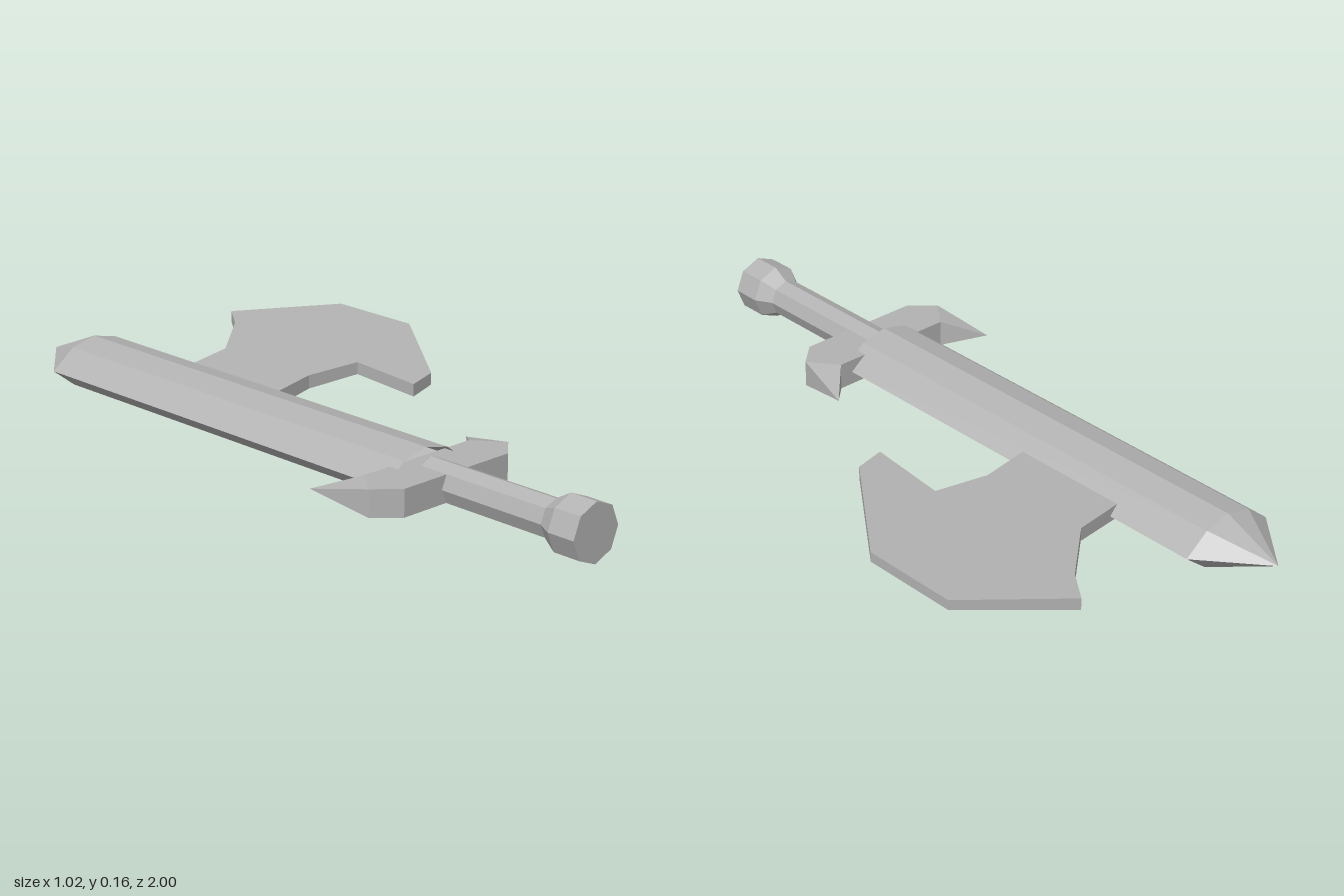
import * as THREE from 'three';
import { ConvexGeometry } from 'three/addons/geometries/ConvexGeometry.js';

const CX = -0.238, CY = 0.079; // long axis of the weapon, running along z

export function createModel() {
  const group = new THREE.Group();
  const steel = new THREE.MeshStandardMaterial({ color: 0xb2b2b2, flatShading: true, side: THREE.DoubleSide });
  steel.name = 'greySteel';

  const add = (name, geometry, x = 0, y = 0) => {
    const flat = geometry.index ? geometry.toNonIndexed() : geometry;
    flat.computeVertexNormals();
    const mesh = new THREE.Mesh(flat, steel);
    mesh.name = name;
    mesh.position.set(x, y, 0);
    group.add(mesh);
  };

  // Plate with an outline in x/z, its lower and upper heights given by functions of x
  const plate = (outline, bottom, top) => {
    const shape = new THREE.Shape(outline.map(([x, z]) => new THREE.Vector2(x, -z)));
    const geo = new THREE.ExtrudeGeometry(shape, { depth: 1, bevelEnabled: false });
    geo.rotateX(-Math.PI / 2);
    const p = geo.attributes.position;
    for (let i = 0; i < p.count; i++) {
      const x = p.getX(i);
      p.setY(i, p.getY(i) > 0.5 ? top(x) : bottom(x));
    }
    return geo;
  };

  // Blade: flattened octagonal tube, open at the guard, pointed at the far end
  const ring = [[0.143, 0], [0.075, 0.053], [0, 0.071], [-0.075, 0.053],
    [-0.143, 0], [-0.075, -0.053], [0, -0.071], [0.075, -0.053]];
  const verts = [];
  ring.forEach((a, i) => {
    const b = ring[(i + 1) % ring.length];
    const a0 = [...a, 0.45], b0 = [...b, 0.45], a1 = [...a, -0.83], b1 = [...b, -0.83];
    verts.push(...a0, ...b0, ...b1, ...a0, ...b1, ...a1, ...a1, ...b1, 0, 0, -1);
  });
  const blade = new THREE.BufferGeometry();
  blade.setAttribute('position', new THREE.Float32BufferAttribute(verts, 3));
  add('blade', blade, CX, CY);

  // Grip and pommel: eight-sided turned profile along z
  const profile = [[0, 0.45], [0.036, 0.45], [0.052, 0.468], [0.052, 0.875],
    [0.078, 0.92], [0.078, 1], [0, 1]].map(([r, z]) => new THREE.Vector2(r, z));
  add('gripAndPommel', new THREE.LatheGeometry(profile, 8).rotateX(Math.PI / 2), CX, CY);

  // Crossguard: block with chamfered front corners
  const H = 0.0365;
  add('crossguard', plate(
    [[-0.18, 0.555], [0.18, 0.555], [0.242, 0.498], [0.182, 0.42],
      [-0.182, 0.42], [-0.242, 0.498]], () => -H, () => H), CX, CY);

  // Pointed horns at both ends of the guard
  for (const s of [-1, 1]) {
    const horn = [[0.242, H, 0.498], [0.242, -H, 0.498], [0.182, H, 0.42], [0.182, -H, 0.42], [0.272, 0, 0.325]];
    add(s > 0 ? 'leftGuardHorn' : 'rightGuardHorn',
      new ConvexGeometry(horn.map(([x, y, z]) => new THREE.Vector3(s * x, y, z))), CX, CY);
  }

  // Axe head: tilted plate, thinner towards its cutting edge
  add('axeHead', plate(
    [[-0.124, -0.563], [-0.124, -0.222], [0.03, -0.254], [0.188, -0.23], [0.164, 0.008],
      [0.257, -0.018], [0.507, -0.35], [0.507, -0.627], [0.257, -0.82], [0.193, -0.733], [0.03, -0.59]],
    x => 0.069 + 0.067 * x, x => 0.107 + 0.046 * x));

  return group;
}
